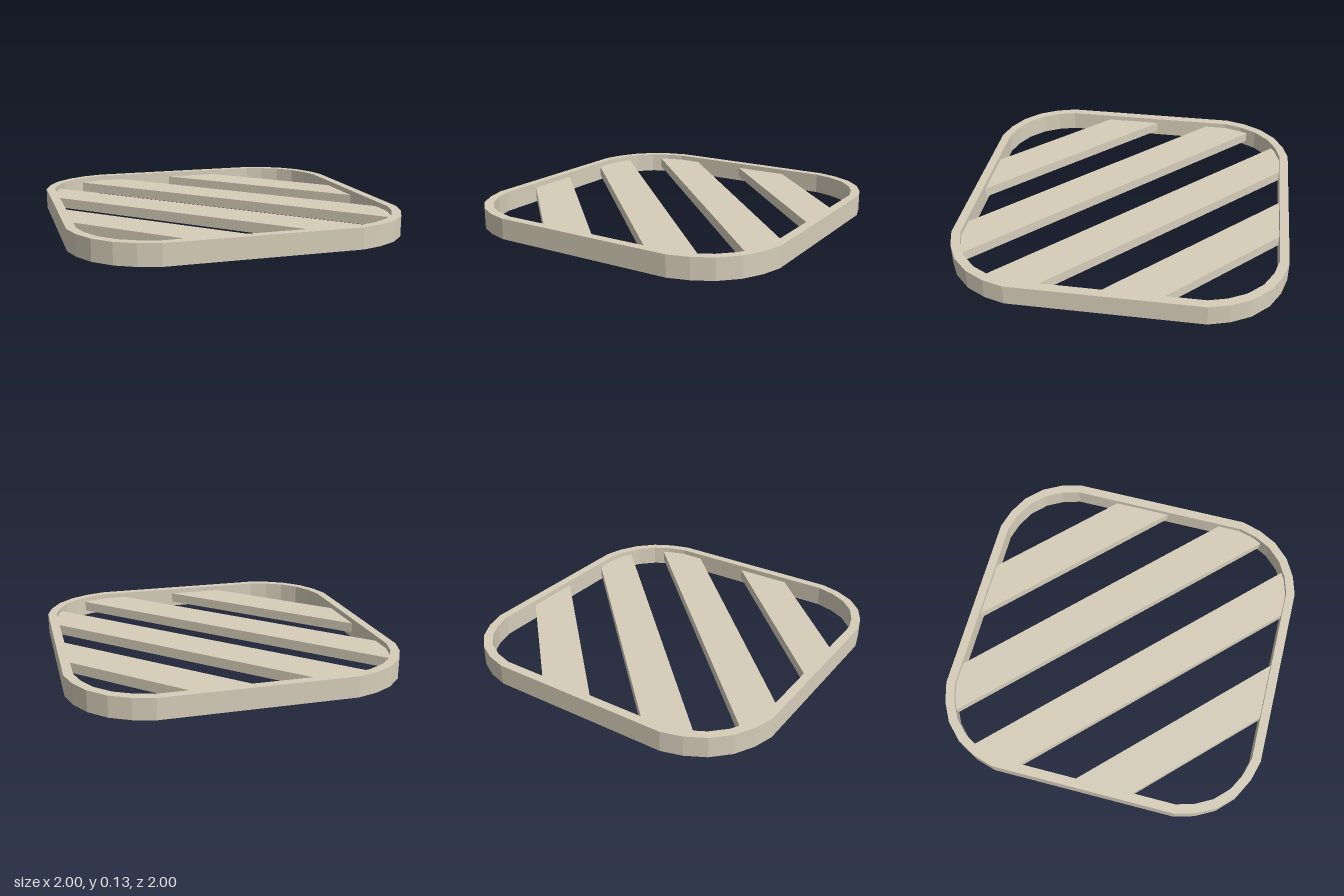
import * as THREE from 'three';

const HEIGHT = 0.126, RIM = 0.055, SLAT = 0.063;

// Rounded square, counter-clockwise: one corner turned four times
function outline() {
  const corner = [[1, 0.567], [0.965, 0.69], [0.903, 0.805], [0.805, 0.903], [0.69, 0.965], [0.567, 1]];
  const pts = [];
  for (let k = 0; k < 4; k++) {
    for (const [x, y] of corner) {
      pts.push(new THREE.Vector2(x, y).rotateAround(new THREE.Vector2(), k * Math.PI / 2));
    }
  }
  return pts;
}

// Move every edge of the outline inwards by d
function inset(pts, d) {
  const n = pts.length;
  const normal = (a, b) => new THREE.Vector2(b.y - a.y, a.x - b.x).normalize();
  return pts.map((p, i) => {
    const n1 = normal(pts[(i + n - 1) % n], p), n2 = normal(p, pts[(i + 1) % n]);
    return p.clone().addScaledVector(n1.clone().add(n2), -d / (1 + n1.dot(n2)));
  });
}

// Keep the part of a convex outline where side(p) >= 0
function clip(pts, side) {
  const out = [];
  pts.forEach((p, i) => {
    const q = pts[(i + 1) % pts.length], a = side(p), b = side(q);
    if (a >= 0) out.push(p);
    if ((a >= 0) !== (b >= 0)) out.push(p.clone().lerp(q, a / (a - b)));
  });
  return out;
}

// Extrude a plan shape upwards from y to y + h
function slab(shape, y, h) {
  const geo = new THREE.ExtrudeGeometry(shape, { depth: h, bevelEnabled: false });
  return geo.rotateX(Math.PI / 2).translate(0, y + h, 0);
}

export function createModel() {
  const group = new THREE.Group();
  const beige = new THREE.MeshStandardMaterial({ color: 0xd6cdb9 });
  const add = (name, geo) => {
    const mesh = new THREE.Mesh(geo, beige);
    mesh.name = name;
    group.add(mesh);
  };

  // Rim
  const outer = outline();
  const rim = new THREE.Shape(outer);
  rim.holes.push(new THREE.Path(inset(outer, RIM).reverse()));
  add('rim', slab(rim, 0, HEIGHT));

  // Diagonal slats, let slightly into the rim at their ends
  const field = inset(outer, RIM - 0.01);
  const across = p => (p.x - p.y) / Math.SQRT2;
  [-0.75, -0.25, 0.25, 0.75].forEach((c, i) => {
    const band = clip(clip(field, p => across(p) - c + 0.125), p => c + 0.125 - across(p));
    add(`slat${i + 1}`, slab(new THREE.Shape(band), (HEIGHT - SLAT) / 2, SLAT));
  });

  return group;
}
